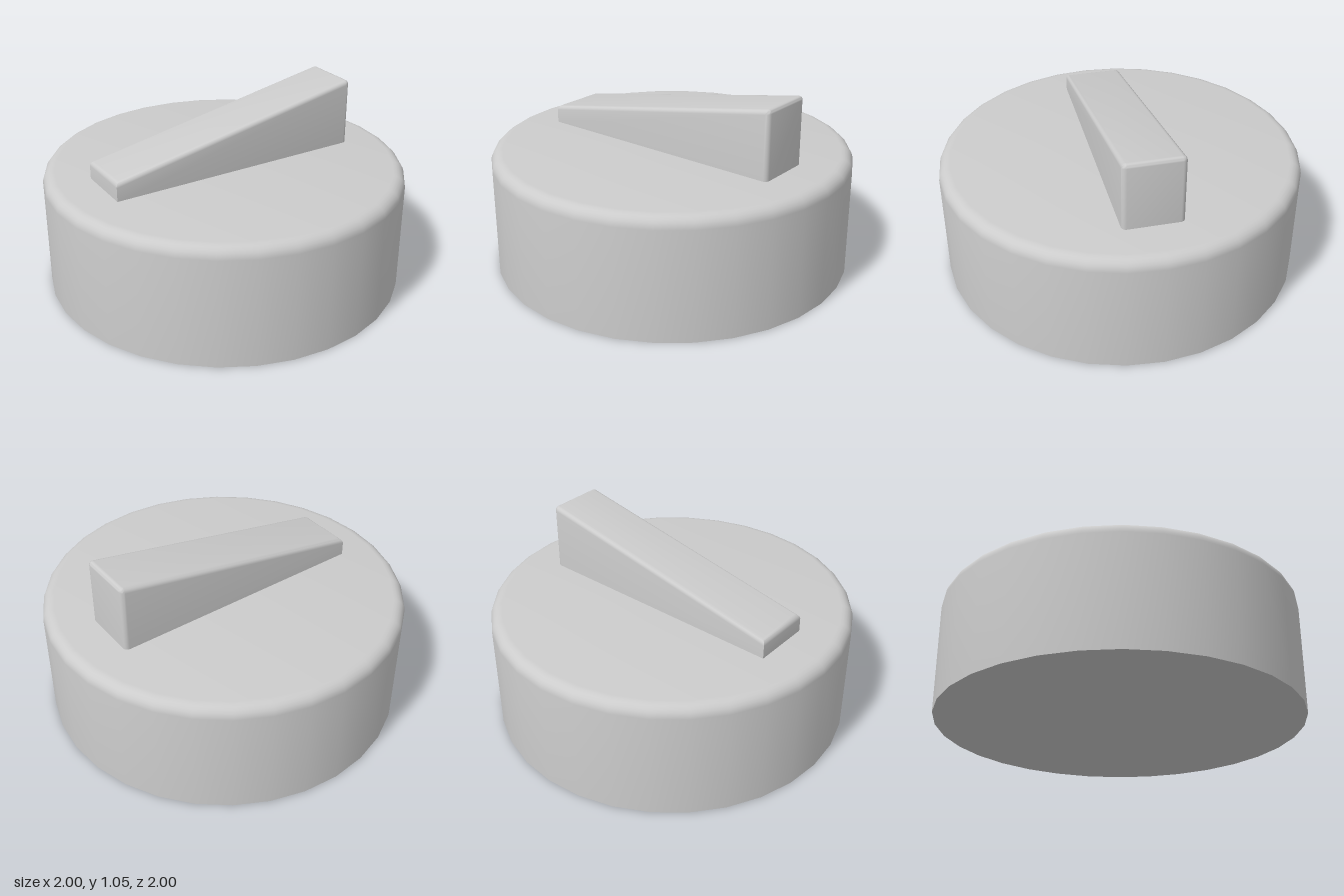
import * as THREE from 'three';
import { toCreasedNormals } from 'three/addons/utils/BufferGeometryUtils.js';

const BODY_TOP = 0.67;

// Round body with a softened top rim
function bodyGeometry() {
  const r = 0.065, profile = [new THREE.Vector2(0, 0), new THREE.Vector2(1, 0)];
  for (let i = 0; i <= 6; i++) {
    const a = (i / 6) * Math.PI / 2;
    profile.push(new THREE.Vector2(1 - r + r * Math.cos(a), BODY_TOP - r + r * Math.sin(a)));
  }
  profile.push(new THREE.Vector2(0, BODY_TOP));
  return toCreasedNormals(new THREE.LatheGeometry(profile, 32), Math.PI / 4);
}

// Sloped grip: stacked outlines that shrink around the rounded top edge
function gripGeometry() {
  const halfX = 0.735, halfZ = 0.163, r = 0.025, steps = 5;
  const slopeY = x => 0.91 + 0.19 * x;

  // Outline seen from above: square corners at the low end, rounded at the high end
  const outline = inset => {
    const pts = [], c = r - inset;
    for (const side of [1, -1]) {
      for (let i = 0; i <= steps; i++) {
        const t = (i / steps) * Math.PI / 2;
        const a = side > 0 ? Math.PI / 2 - t : t;
        pts.push([halfX - r + c * Math.cos(a), side * (halfZ - r + c * Math.sin(a))]);
      }
    }
    pts.push([-halfX + inset, -halfZ + inset], [-halfX + inset, halfZ - inset]);
    return pts;
  };

  const rings = [outline(0).map(([x, z]) => [x, BODY_TOP - 0.005, z])];
  for (let i = 0; i <= steps; i++) {
    const a = (i / steps) * Math.PI / 2;
    rings.push(outline(r * (1 - Math.cos(a))).map(([x, z]) => [x, slopeY(x) - r * (1 - Math.sin(a)), z]));
  }

  const n = rings[0].length, index = [];
  const positions = [...rings.flat(2), 0, slopeY(0), 0];
  const centre = rings.length * n;
  for (let j = 0; j < n; j++) {
    const k = (j + 1) % n;
    for (let i = 0; i < rings.length - 1; i++) {
      const lo = i * n, hi = lo + n;
      index.push(lo + j, lo + k, hi + k, lo + j, hi + k, hi + j);
    }
    index.push(centre, centre - n + j, centre - n + k);
  }
  const geometry = new THREE.BufferGeometry();
  geometry.setAttribute('position', new THREE.Float32BufferAttribute(positions, 3));
  geometry.setIndex(index);
  return toCreasedNormals(geometry, Math.PI / 4);
}

export function createModel() {
  const group = new THREE.Group();
  group.name = 'knob';
  const material = new THREE.MeshStandardMaterial({ color: 0xcccccc });
  const add = (name, geometry) => {
    const mesh = new THREE.Mesh(geometry, material);
    mesh.name = name;
    group.add(mesh);
  };
  add('body', bodyGeometry());
  add('grip', gripGeometry());
  return group;
}
